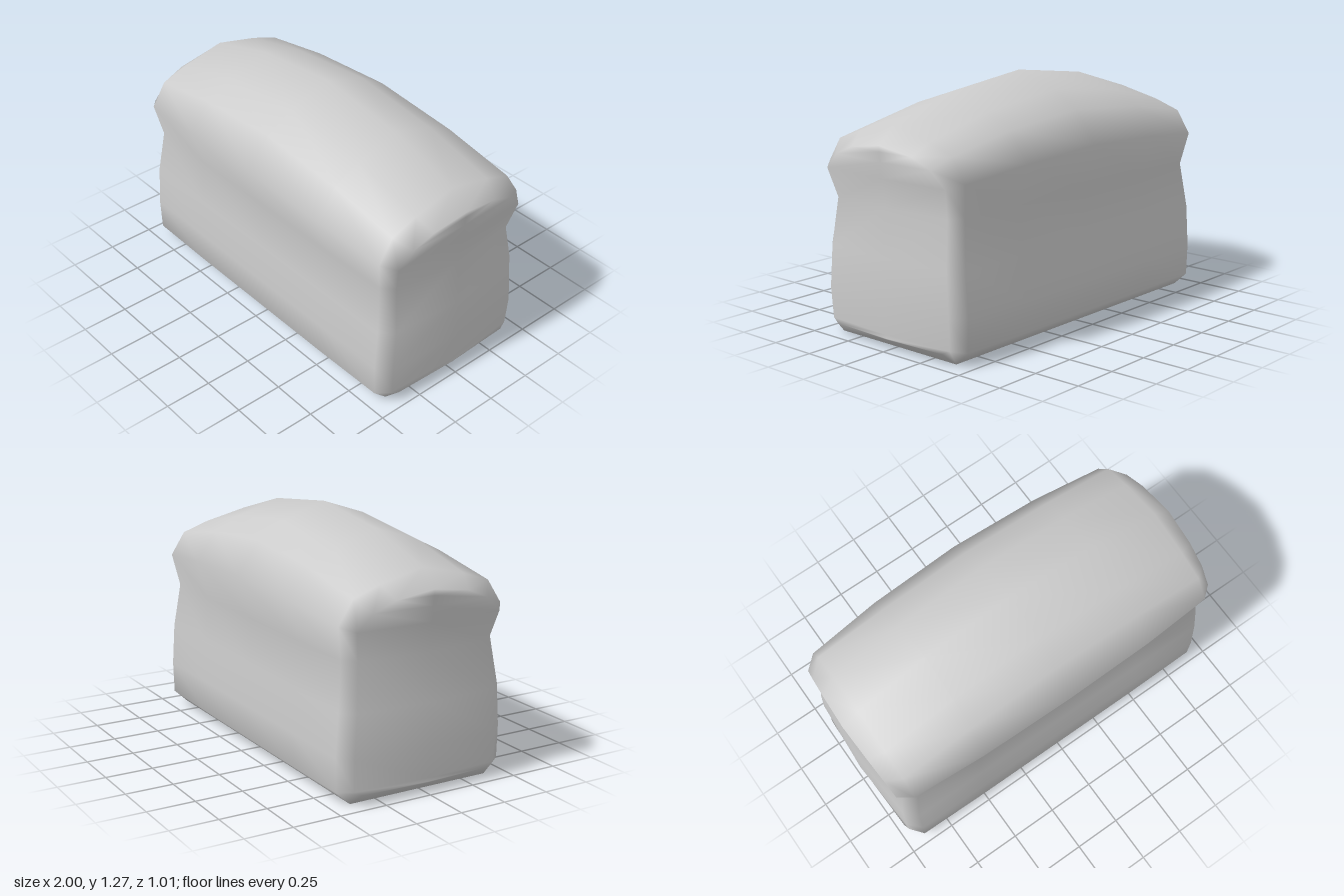
import * as THREE from 'three';

// Half cross-sections [x, z, y], from bottom centre up to the crown.
const withX = (x, pts) => pts.map(([z, y]) => [x, z, y]);
const middle = withX(0, [[0, 0], [0.39, 0], [0.47, 0.07], [0.47, 0.24], [0.455, 0.46],
  [0.43, 0.7], [0.505, 0.935], [0.38, 1.1], [0.235, 1.19], [0, 1.27]]);
const quarter = withX(0.5, [[0, 0], [0.39, 0], [0.47, 0.07], [0.47, 0.24], [0.455, 0.46],
  [0.43, 0.7], [0.492, 0.91], [0.38, 1.06], [0.235, 1.135], [0, 1.21]]);
const shoulder = withX(0.9, [[0, 0], [0.39, 0], [0.465, 0.07], [0.47, 0.24], [0.455, 0.46],
  [0.425, 0.7], [0.458, 0.87], [0.38, 0.99], [0.235, 1.04], [0, 1.095]]);
shoulder[5][0] = 0.87;
const rim = [[0.975, 0, 0.055], [0.965, 0.36, 0.06], [0.955, 0.4, 0.08], [0.965, 0.405, 0.24],
  [0.96, 0.39, 0.46], [0.93, 0.37, 0.7], [0.97, 0.4, 0.85], [0.98, 0.32, 0.93],
  [0.99, 0.2, 0.98], [1, 0, 1.01]];
// Bulge of the end face along its centre line, one x per row.
const endX = [0.975, 0.976, 0.978, 0.992, 0.985, 0.965, 0.985, 0.992, 0.997, 1];

export function createModel() {
  const group = new THREE.Group();
  const pos = [], index = [];
  const rows = middle.length, ring = 2 * rows - 2;
  const addRing = (half, side) => {
    for (let k = 0; k < ring; k++) {
      const front = k < rows;
      const [x, z, y] = half[front ? k : ring - k];
      pos.push(x * side, y, front ? z : -z);
    }
  };

  // Body: rings skinned from the right end to the left end
  const sections = [[rim, -1], [shoulder, -1], [quarter, -1], [middle, 1],
    [quarter, 1], [shoulder, 1], [rim, 1]];
  sections.forEach(([half, side]) => addRing(half, side));
  for (let s = 0; s < sections.length - 1; s++) {
    for (let k = 0; k < ring; k++) {
      const a = s * ring + k, b = s * ring + (k + 1) % ring;
      index.push(a, a + ring, b, b, a + ring, b + ring);
    }
  }

  // Gently bulged end faces
  for (const side of [-1, 1]) {
    const base = side < 0 ? 0 : (sections.length - 1) * ring;
    const mid = [base];
    for (let i = 1; i < rows - 1; i++) {
      mid.push(pos.length / 3);
      pos.push(endX[i] * side, rim[i][2], 0);
    }
    mid.push(base + rows - 1);
    const tri = (a, b, c) => {
      if (a === b || b === c || a === c) return;
      if (side > 0) index.push(a, b, c); else index.push(a, c, b);
    };
    for (let i = 0; i < rows - 1; i++) {
      const f0 = base + i, f1 = base + i + 1;
      const b0 = base + (ring - i) % ring, b1 = base + ring - i - 1;
      tri(f0, mid[i], mid[i + 1]);
      tri(f0, mid[i + 1], f1);
      tri(mid[i], b0, b1);
      tri(mid[i], b1, mid[i + 1]);
    }
  }

  const geometry = new THREE.BufferGeometry();
  geometry.setAttribute('position', new THREE.Float32BufferAttribute(pos, 3));
  geometry.setIndex(index);
  geometry.computeVertexNormals();
  const loaf = new THREE.Mesh(geometry, new THREE.MeshStandardMaterial({ color: 0xcccccc }));
  loaf.name = 'breadLoaf';
  group.add(loaf);
  return group;
}
